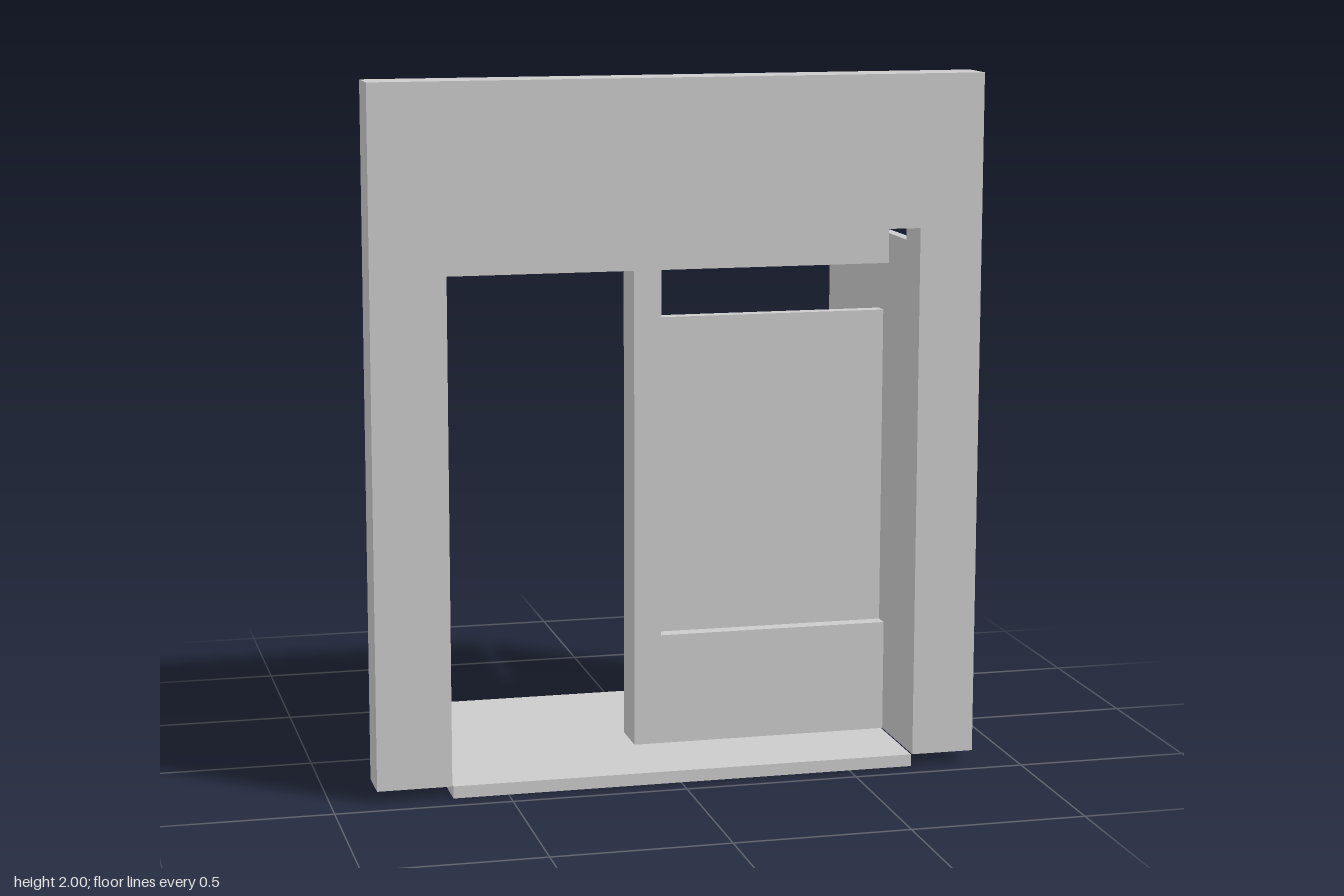
import * as THREE from 'three';

const material = new THREE.MeshStandardMaterial({ color: 0xcccccc, flatShading: true });

// Box given by its extents on each axis
function block(name, [x0, x1], [y0, y1], [z0, z1]) {
  const mesh = new THREE.Mesh(new THREE.BoxGeometry(x1 - x0, y1 - y0, z1 - z0), material);
  mesh.position.set((x0 + x1) / 2, (y0 + y1) / 2, (z0 + z1) / 2);
  mesh.name = name;
  return mesh;
}

// Outline in x and y, extruded from z0 to z1
function plate(name, points, z0, z1) {
  const shape = new THREE.Shape(points.map(([x, y]) => new THREE.Vector2(x, y)));
  const geometry = new THREE.ExtrudeGeometry(shape, { depth: z1 - z0, bevelEnabled: false });
  const mesh = new THREE.Mesh(geometry, material);
  mesh.position.z = z0;
  mesh.name = name;
  return mesh;
}

export function createModel() {
  const model = new THREE.Group();
  model.name = 'gatehouse';

  const base = 0.035, back = -0.435, front = 0.435, facadeBack = 0.31;
  const left = 0.69, right = -0.66; // inner faces of the room
  const beamZ = [0.02, 0.152];

  // Front wall with its doorway open at the bottom
  model.add(plate('facade', [
    [-0.872, base], [right, base], [right, 1.567], [left, 1.567],
    [left, base], [0.872, base], [0.872, 2], [-0.872, 2],
  ], facadeBack, front));

  model.add(block('floor', [-0.657, 0.686], [0, base], [back, front]));

  // Side walls: taller front section, lower and slightly thicker rear section
  model.add(block('leftFrontWall', [left, 0.721], [base, 1.52], [0.068, facadeBack]));
  model.add(block('rightFrontWall', [-0.692, right], [base, 1.52], [0.068, facadeBack]));
  model.add(block('leftRearWall', [left, 0.726], [base, 1.455], [back, 0.068]));
  model.add(block('rightRearWall', [-0.697, -0.655], [base, 1.455], [back, 0.075]));

  // Cross beam with the roof slab behind it
  model.add(block('crossBeam', [-0.657, left], [1.433, 1.567], beamZ));
  model.add(block('roof', [-0.655, left], [1.487, 1.535], [back, beamZ[0]]));

  // Partition under the beam: post, low wall and a thin panel set midway
  const partition = new THREE.Group();
  partition.name = 'partition';
  partition.add(
    block('post', [-0.07, 0.01], [base, 1.433], beamZ),
    block('lowWall', [0.01, left], [base, 0.36], beamZ),
    block('panel', [0.01, left], [0.36, 1.29], [0.065, 0.107]),
  );
  model.add(partition);

  return model;
}
